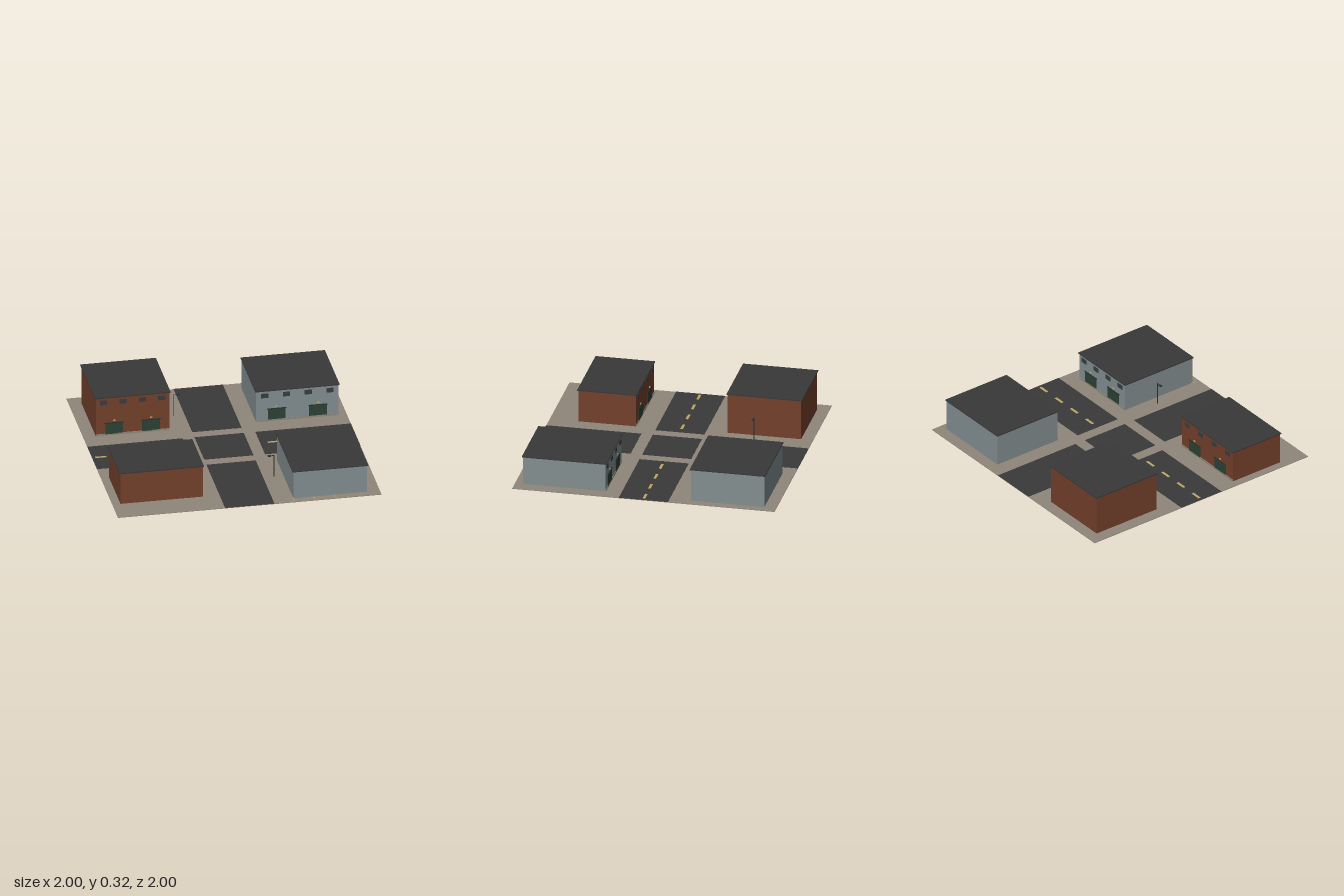
import * as THREE from 'three';

function material(name, color) {
  const m = new THREE.MeshStandardMaterial({ color });
  m.name = name;
  return m;
}

export function createModel() {
  const concrete = material('concrete', 0x8f877a);
  const asphalt = material('asphalt', 0x3a3a3a);
  const roofing = material('roofing', 0x383838);
  const brick = material('brick', 0x74402b);
  const siding = material('siding', 0x828e90);
  const doorGreen = material('door green', 0x2c4236);
  const glass = material('dark glass', 0x3a3d40);
  const paint = material('yellow paint', 0xc0a566);
  const metal = material('dark metal', 0x26332f);

  const model = new THREE.Group();
  model.name = 'industrialCrossroads';

  // Box whose given y is its underside
  function box(parent, name, mat, w, h, d, x, y, z) {
    const mesh = new THREE.Mesh(new THREE.BoxGeometry(w, h, d), mat);
    mesh.name = name;
    mesh.position.set(x, y + h / 2, z);
    parent.add(mesh);
    return mesh;
  }

  // Ground slab and road plates, with gaps left at the crossings
  const top = 0.004;
  box(model, 'ground', concrete, 2, top, 2, 0, 0, 0);
  const roadW = 0.374, roadL = 0.725, roadMid = 0.6375;
  box(model, 'junction', asphalt, roadW, 0.002, roadW, 0, top, 0);
  for (const s of [-1, 1]) {
    box(model, 'crossRoad', asphalt, roadL, 0.002, roadW, s * roadMid, top, 0);
    box(model, 'mainRoad', asphalt, roadW, 0.002, roadL, 0, top, s * roadMid);
    for (let i = 0; i < 4; i++) {
      box(model, 'laneDash', paint, 0.085, 0.0015, 0.02, s * (0.374 + i * 0.187), top + 0.002, 0);
    }
  }

  // Warehouse with its doors on local +z; turned ones face -z
  function warehouse(name, wall, x, z, w, d, h, turned) {
    const g = new THREE.Group();
    g.name = name;
    g.position.set(x, 0, z);
    if (turned) g.rotation.y = Math.PI;
    model.add(g);
    const front = d / 2;
    box(g, 'walls', wall, w, h - 0.008 - top, d, 0, top, 0);
    box(g, 'roof', roofing, w + 0.014, 0.008, d + 0.014, 0, h - 0.008, 0);
    box(g, 'plinth', concrete, w, 0.014, 0.004, 0, top, front + 0.002);
    for (const s of [-1, 1]) {
      const dx = s * w * 0.25;
      box(g, 'loadingDoor', doorGreen, 0.135, 0.088, 0.004, dx, 0.014, front + 0.002);
      box(g, 'doorLintel', metal, 0.145, 0.006, 0.006, dx, 0.102, front + 0.003);
      box(g, 'doorLamp', paint, 0.02, 0.008, 0.006, dx, 0.12, front + 0.003);
    }
    for (const f of [-0.395, -0.132, 0.132, 0.395]) {
      box(g, 'window', glass, 0.055, 0.036, 0.004, f * w, h - 0.063, front + 0.002);
    }
  }
  warehouse('tallBrickWarehouse', brick, -0.625, -0.629, 0.56, 0.56, 0.322, false);
  warehouse('wideSidingWarehouse', siding, 0.625, -0.629, 0.626, 0.56, 0.262, false);
  warehouse('wideBrickWarehouse', brick, -0.626, 0.563, 0.626, 0.44, 0.262, true);
  warehouse('lowSidingWarehouse', siding, 0.623, 0.624, 0.56, 0.63, 0.23, true);

  // Parking stripes beside the low warehouse
  for (const x of [0.34, 0.497, 0.652]) {
    box(model, 'parkingStripe', paint, 0.006, 0.0015, 0.05, x, top, 0.952);
  }

  // Street lamps with arms reaching toward the road
  for (const [x, z, dir] of [[-0.27, -0.567, 1], [0.27, 0.558, -1]]) {
    const lamp = new THREE.Group();
    lamp.name = 'streetLamp';
    lamp.position.set(x, 0, z);
    model.add(lamp);
    const post = new THREE.Mesh(new THREE.CylinderGeometry(0.003, 0.003, 0.176, 8), metal);
    post.name = 'lampPost';
    post.position.y = top + 0.088;
    lamp.add(post);
    box(lamp, 'lampArm', metal, 0.045, 0.004, 0.004, dir * 0.02, 0.177, 0);
    box(lamp, 'lampHead', metal, 0.024, 0.007, 0.018, dir * 0.035, 0.174, 0);
  }
  return model;
}
